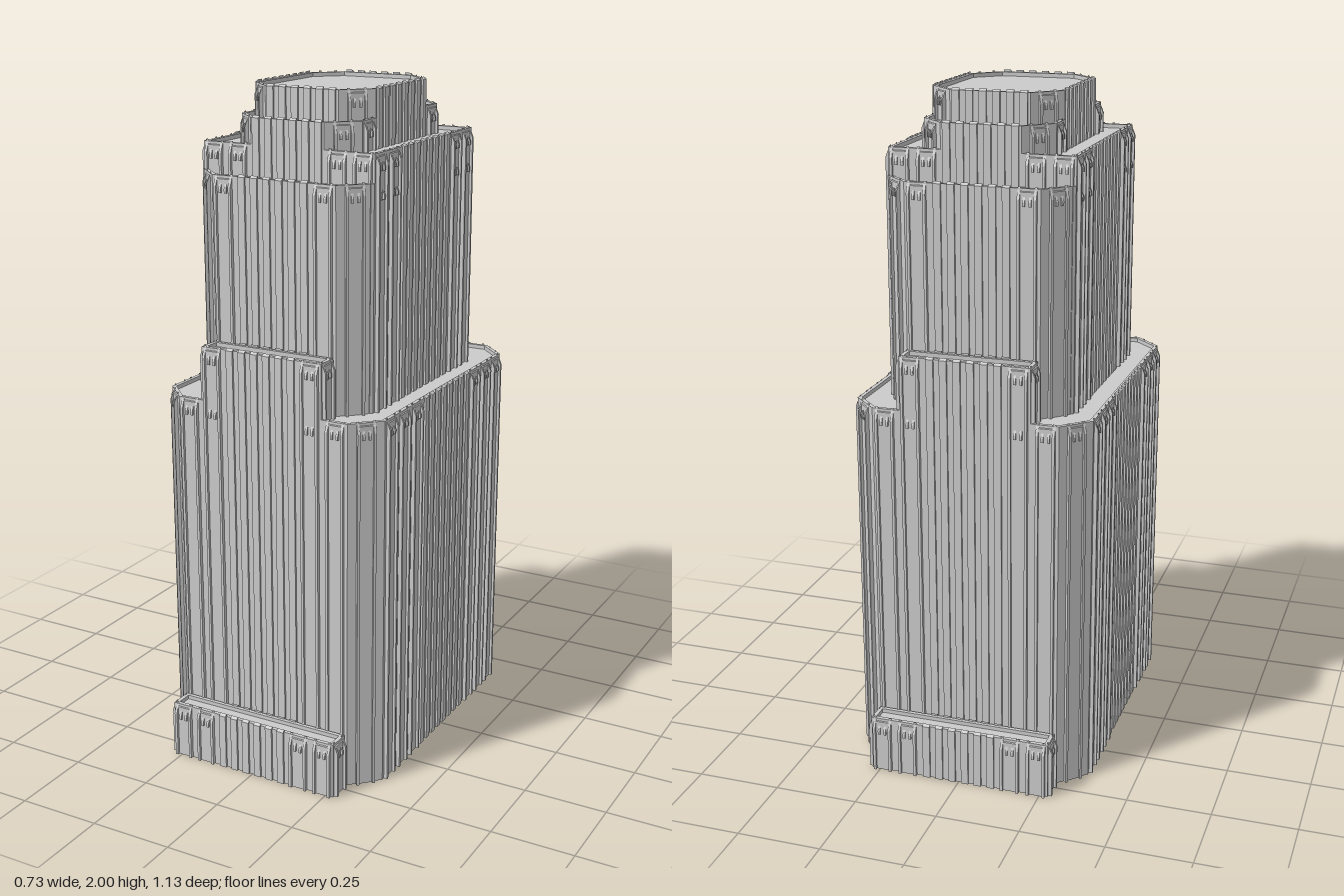
import * as THREE from 'three';
import { mergeGeometries } from 'three/addons/utils/BufferGeometryUtils.js';

const CELL = 0.08;   // facade module
const SET = 0.005;   // wall plane sits just behind the module line
const material = new THREE.MeshStandardMaterial({ color: 0xcccccc, side: THREE.DoubleSide });

// Chamfered (or square) plan corners, drawn in x and -z so extruding up is easy
function plan(hx, hz, c, inset) {
  const x = hx - inset, z = hz - inset, k = c ? c - inset * 0.586 : 0;
  const pts = c
    ? [[x, -z + k], [x, z - k], [x - k, z], [-x + k, z], [-x, z - k], [-x, -z + k], [-x + k, -z], [x - k, -z]]
    : [[x, -z], [x, z], [-x, z], [-x, -z]];
  return pts.map(p => new THREE.Vector2(...p));
}

function prism(shape, depth, y) {
  const g = new THREE.ExtrudeGeometry(shape, { depth, bevelEnabled: false });
  g.rotateX(-Math.PI / 2);
  return g.translate(0, y, 0);
}

// Vertical rib on a wall: sloped cap, placed at (x, z) and facing the normal (nx, nz)
function rib(x, z, nx, nz, offset, width, proud, base, top, slope) {
  const s = new THREE.Shape([
    new THREE.Vector2(-0.003, base), new THREE.Vector2(proud, base),
    new THREE.Vector2(proud, top - slope), new THREE.Vector2(-0.003, top),
  ]);
  const g = new THREE.ExtrudeGeometry(s, { depth: width, bevelEnabled: false });
  g.translate(0, 0, offset - width / 2);
  g.rotateY(Math.atan2(-nz, nx));
  return g.translate(x, 0, z);
}

// Bay framed by two ribs, with a pair of little pointed fins at its head
function framedBay(x, z, nx, nz, base, top) {
  const parts = [rib(x, z, nx, nz, 0, 0.05, 0.003, base, top - 0.012, 0.004)];
  for (const s of [-1, 1]) {
    parts.push(rib(x, z, nx, nz, s * 0.024, 0.008, 0.011, base, top - 0.002, 0.034));
    parts.push(rib(x, z, nx, nz, s * 0.009, 0.007, 0.009, top - 0.055, top - 0.015, 0.028));
  }
  return parts;
}

// One setback: open-bottomed shell, recessed roof, and ribbed facades
function tier(name, hx, hz, c, base, top, cz = 0) {
  const group = new THREE.Group();
  group.name = name;
  const add = (geometry, part) => {
    const mesh = new THREE.Mesh(geometry, material);
    mesh.name = part;
    group.add(mesh);
  };

  const outer = plan(hx, hz, c, SET);
  const shell = new THREE.Shape(outer);
  shell.holes.push(new THREE.Path(plan(hx, hz, c, SET + 0.012).reverse()));
  add(prism(shell, top - 0.006 - base, base), 'wallsAndParapet');

  const roof = new THREE.ShapeGeometry(new THREE.Shape(plan(hx, hz, c, SET + 0.01)));
  add(roof.rotateX(-Math.PI / 2).translate(0, top - 0.018, 0), 'roof');

  const ribs = [];
  outer.forEach((a, i) => {
    const b = outer[(i + 1) % outer.length];
    const dx = b.x - a.x, dy = b.y - a.y, len = Math.hypot(dx, dy);
    const nx = dy / len, nz = dx / len;
    const mx = (a.x + b.x) / 2, mz = -(a.y + b.y) / 2;
    if (Math.abs(nx * nz) > 0.1) {
      ribs.push(...framedBay(mx, mz, nx, nz, base, top));
      return;
    }
    const n = Math.round(len / CELL);
    for (let j = 0; j < n; j++) {
      const t = (j - (n - 1) / 2) * CELL;
      const alongX = Math.abs(nz) > 0.5;
      const x = mx + (alongX ? t : 0), z = mz + (alongX ? 0 : t);
      // framed bays near the corners, plain slim ribs in the middle
      const framed = alongX ? Math.abs(x) > 0.13 : Math.abs(z + cz) > 0.17;
      if (framed) ribs.push(...framedBay(x, z, nx, nz, base, top));
      else for (const s of [-0.02, 0.02])
        ribs.push(rib(x, z, nx, nz, s, 0.022, 0.006, base, top, 0.006));
    }
  });
  add(mergeGeometries(ribs), 'facadeRibs');
  group.position.z = cz;
  return group;
}

export function createModel() {
  const model = new THREE.Group();
  model.name = 'setbackTower';

  model.add(tier('mainBlock', 0.36, 0.48, 0.08, 0, 1.125));
  model.add(tier('middleTower', 0.28, 0.40, 0.08, 1.09, 1.765));
  model.add(tier('upperTower', 0.28, 0.32, 0, 1.09, 1.845));
  model.add(tier('lowerCrown', 0.20, 0.32, 0.08, 1.74, 1.92));
  model.add(tier('topCrown', 0.20, 0.24, 0.08, 1.82, 2.0));

  // Matching projections at the front and back
  for (const [side, s] of [['front', 1], ['back', -1]]) {
    model.add(tier(side + 'Podium', 0.28, 0.04, 0, 0, 0.175, s * 0.52));
    model.add(tier(side + 'Bay', 0.20, 0.04, 0, 0.14, 1.285, s * 0.44));
  }
  return model;
}
